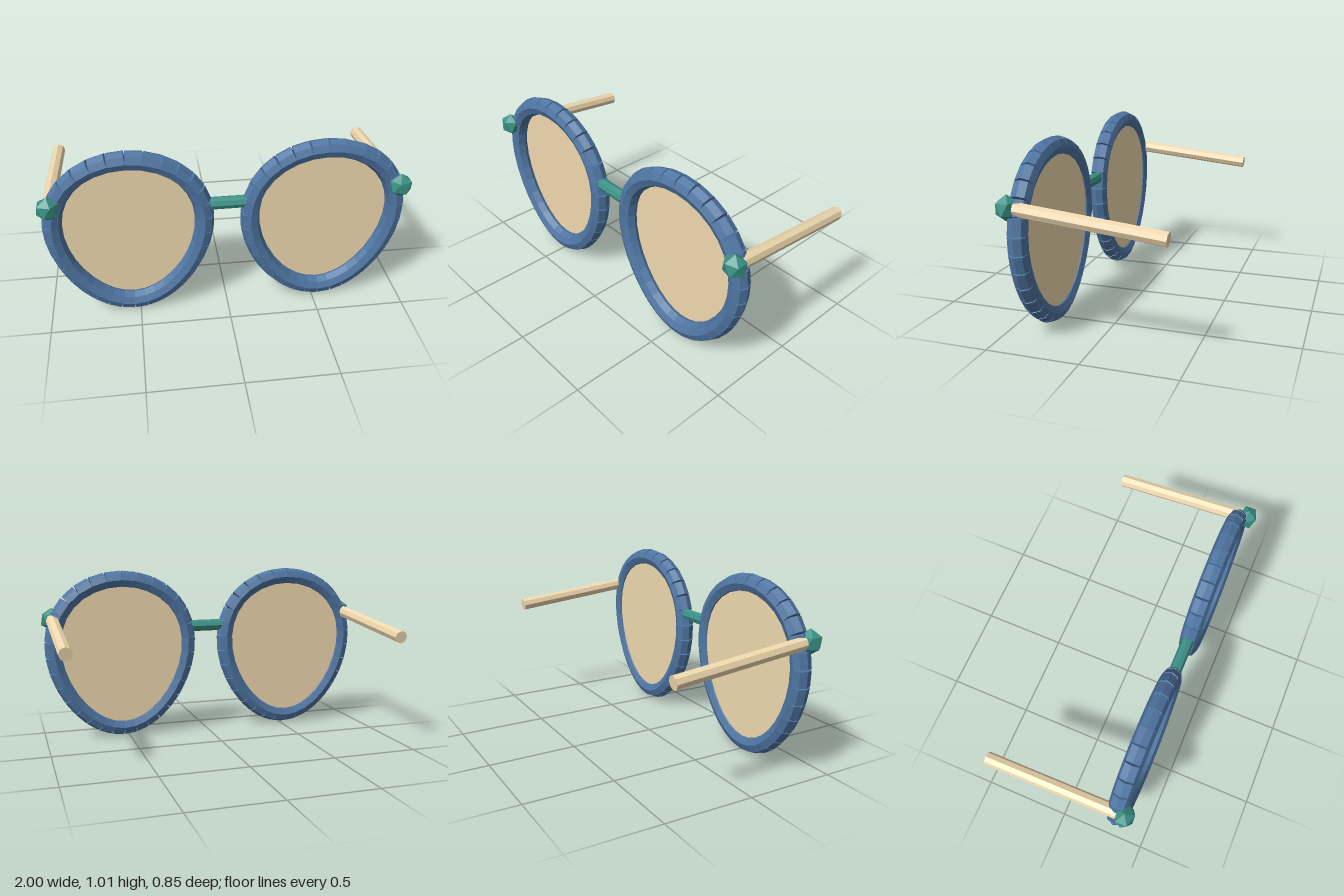
import * as THREE from 'three';

const material = (color) => new THREE.MeshStandardMaterial({ color, flatShading: true });

const RIM_Z = 0.327, LENS_X = 0.531, LENS_Y = 0.505, SEGMENTS = 32;
const LENS_BACK = -0.031, LENS_DEPTH = 0.012;

// Egg-shaped outline, slightly wider above the middle
function egg(t, scale = 1) {
  const x = 0.403 * Math.cos(t) * (1 + 0.146 * Math.sin(t));
  return new THREE.Vector2(x * scale, 0.452 * Math.sin(t) * scale);
}

// Eight-sided rod between two points
function rod(name, a, b, radius, mat) {
  const dir = b.clone().sub(a);
  const mesh = new THREE.Mesh(new THREE.CylinderGeometry(radius, radius, dir.length(), 8), mat);
  mesh.position.copy(a).add(b).multiplyScalar(0.5);
  mesh.quaternion.setFromUnitVectors(new THREE.Vector3(0, 1, 0), dir.normalize());
  mesh.name = name;
  return mesh;
}

export function createModel() {
  const model = new THREE.Group();
  model.name = 'glasses';
  const blue = material(0x4f76a3);
  const teal = material(0x3b9186);
  const tan = material(0xefd8ae);

  for (const s of [1, -1]) {
    const side = s > 0 ? 'left' : 'right';

    // Rim of short straight rods, opening in notches on the outside
    const rim = new THREE.Group();
    rim.name = side + 'Rim';
    rim.position.set(s * LENS_X, LENS_Y, RIM_Z);
    for (let i = 0; i < SEGMENTS; i++) {
      const [a, b] = [i, i + 1].map((k) => {
        const p = egg((k / SEGMENTS) * Math.PI * 2);
        return new THREE.Vector3(p.x, p.y, 0);
      });
      const dir = b.clone().sub(a);
      const piece = new THREE.Mesh(new THREE.CylinderGeometry(0.053, 0.053, dir.length(), 8), blue);
      piece.position.copy(a).add(b).multiplyScalar(0.5);
      piece.rotation.z = Math.atan2(dir.y, dir.x) - Math.PI / 2;
      piece.name = 'rimSegment';
      rim.add(piece);
    }
    model.add(rim);

    // Thin flat lens, set towards the back of the rim
    const outline = [];
    for (let i = 0; i < SEGMENTS; i++) outline.push(egg((i / SEGMENTS) * Math.PI * 2, 0.91));
    const lensGeo = new THREE.ExtrudeGeometry(new THREE.Shape(outline),
      { depth: LENS_DEPTH, bevelEnabled: false });
    lensGeo.translate(0, 0, LENS_BACK);
    const lens = new THREE.Mesh(lensGeo, tan);
    lens.position.copy(rim.position);
    lens.name = side + 'Lens';
    model.add(lens);

    // Hinge knob with a corner pointing up
    const knob = new THREE.Mesh(new THREE.IcosahedronGeometry(0.068, 0), teal);
    knob.rotation.z = s * Math.atan(2 / (1 + Math.sqrt(5)));
    knob.scale.z = 0.88;
    knob.position.set(s * 0.94, 0.727, 0.376);
    knob.name = side + 'Hinge';
    model.add(knob);

    // Temple arm sloping down to the back
    model.add(rod(side + 'Arm', new THREE.Vector3(s * 0.938, 0.724, 0.34),
      new THREE.Vector3(s * 0.938, 0.647, -0.422), 0.037, tan));
  }

  // Bridge between the rims
  model.add(rod('bridge', new THREE.Vector3(-0.125, 0.662, RIM_Z),
    new THREE.Vector3(0.125, 0.662, RIM_Z), 0.035, teal));
  return model;
}
